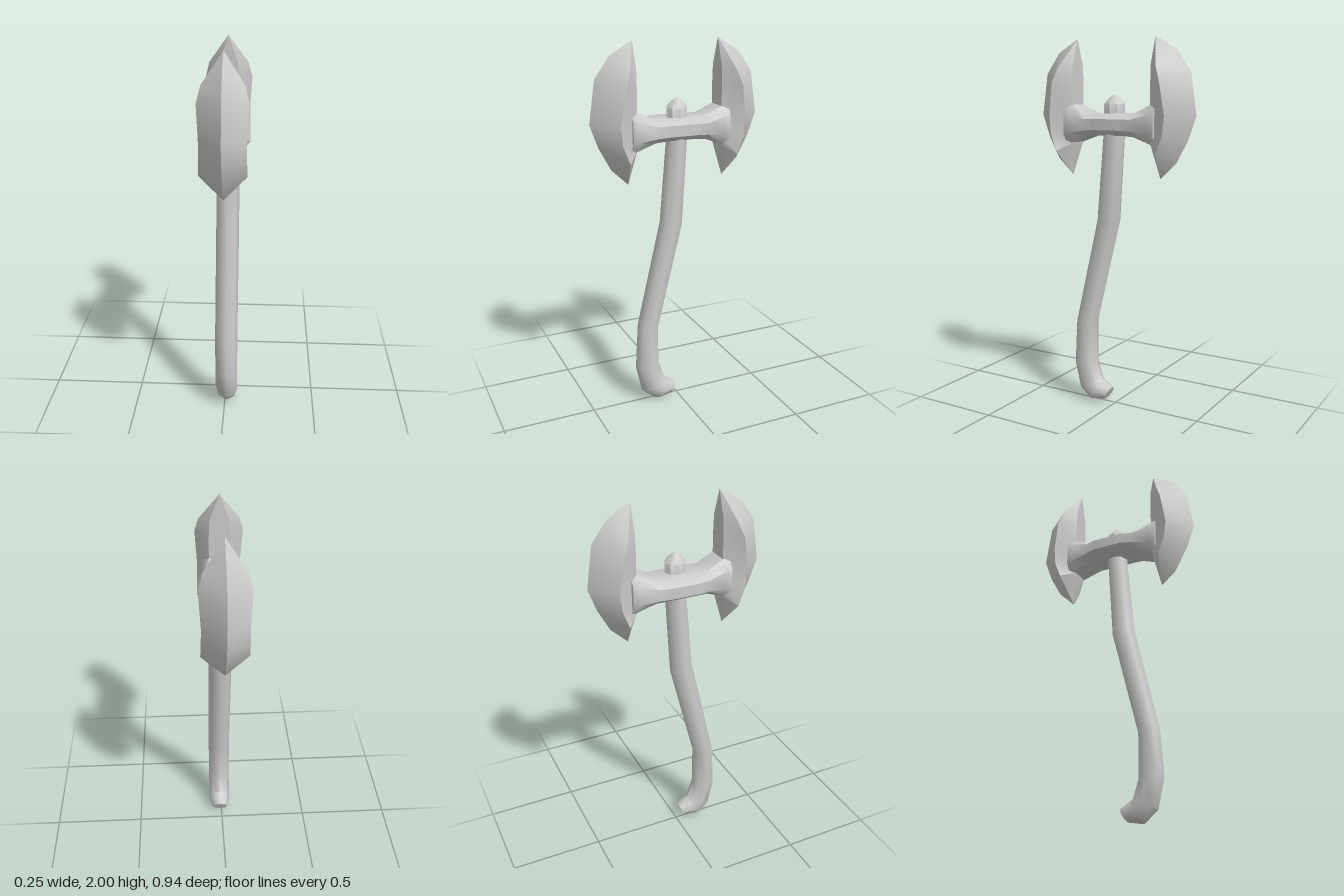
import * as THREE from 'three';
import { toCreasedNormals } from 'three/addons/utils/BufferGeometryUtils.js';

const material = new THREE.MeshStandardMaterial({ color: 0xcccccc });

// Skin a list of equal-length rings of [x, y, z] points and close both ends.
function loft(name, rings, crease) {
  const tris = [];
  const add = (a, b, c) => {
    const [p, q, r] = [a, b, c].map(v => new THREE.Vector3(...v));
    const area = q.clone().sub(p).cross(r.clone().sub(p)).length();
    if (area > 1e-7) tris.push([p, q, r]);
  };
  const n = rings[0].length;
  for (let i = 0; i + 1 < rings.length; i++) {
    for (let j = 0; j < n; j++) {
      const k = (j + 1) % n;
      add(rings[i][j], rings[i][k], rings[i + 1][k]);
      add(rings[i][j], rings[i + 1][k], rings[i + 1][j]);
    }
  }
  const cap = (ring, flip) => {
    const mid = [0, 1, 2].map(a => ring.reduce((s, p) => s + p[a], 0) / n);
    ring.forEach((p, j) => {
      const q = ring[(j + 1) % n];
      if (flip) add(mid, q, p); else add(mid, p, q);
    });
  };
  cap(rings[0], true);
  cap(rings[rings.length - 1], false);

  // Turn the whole skin outwards if the rings ran the other way.
  const volume = tris.reduce((s, [p, q, r]) => s + p.dot(q.clone().cross(r)), 0);
  const points = tris.flatMap(([p, q, r]) => (volume < 0 ? [p, r, q] : [p, q, r]));
  const geometry = toCreasedNormals(new THREE.BufferGeometry().setFromPoints(points), crease);
  const mesh = new THREE.Mesh(geometry, material);
  mesh.name = name;
  return mesh;
}

// Octagonal ring spanning two opposite [z, y] points of the handle outline.
function handleRing([z0, y0, z1, y1, r]) {
  return Array.from({ length: 8 }, (_, i) => {
    const a = (i / 8) * Math.PI * 2;
    const t = Math.cos(a) / 2;
    return [0.01 + r * Math.sin(a), (y0 + y1) / 2 + (y0 - y1) * t, (z0 + z1) / 2 + (z0 - z1) * t];
  });
}

// Bevelled section of the bar at depth z.
function barRing([z, left, right, bottom, top]) {
  const cx = (left + right) / 2, w = (right - left) / 2;
  const cy = (bottom + top) / 2, h = (top - bottom) / 2;
  return [[1, -0.5], [1, 0.5], [0.6, 1], [-0.6, 1], [-1, 0.5], [-1, -0.5], [-0.6, -1], [0.6, -1]]
    .map(([x, y]) => [cx + x * w, cy + y * h, z]);
}

// Five-sided blade section: cutting edge, side ridges and flat back.
function bladeRing([ez, ey, rx, rz, ry, bx, bz, by]) {
  return [[0, ey, ez], [rx, ry, rz], [bx, by, bz], [-bx, by, bz], [-rx, ry, rz]];
}

export function createModel() {
  const axe = new THREE.Group();
  axe.name = 'doubleAxe';

  // Curved handle: outer z, y, inner z, y, half width
  axe.add(loft('handle', [
    [0.058, 1.55, -0.058, 1.55, 0.058],
    [0.06, 1.48, -0.055, 1.48, 0.061],
    [0.10, 1.04, -0.03, 1.04, 0.061],
    [0.235, 0.46, 0.115, 0.46, 0.061],
    [0.25, 0.22, 0.113, 0.22, 0.061],
    [0.215, 0.065, 0.08, 0.128, 0.061],
    [0.14, 0.003, 0.067, 0.12, 0.06],
    [0.055, 0.018, 0.018, 0.09, 0.045],
  ].map(handleRing), 0.9));

  // Pointed knob above the bar
  axe.add(loft('knob', [
    [0.058, 1.56, -0.058, 1.56, 0.052],
    [0.058, 1.66, -0.058, 1.66, 0.052],
    [0.03, 1.69, -0.03, 1.69, 0.028],
    [0, 1.71, 0, 1.71, 0],
  ].map(handleRing), 0.7));

  // Bar joining the blades: z, left, right, bottom, top
  axe.add(loft('bar', [
    [-0.27, -0.095, 0.092, 1.44, 1.67],
    [-0.235, -0.095, 0.092, 1.455, 1.655],
    [-0.14, -0.112, 0.098, 1.49, 1.61],
    [-0.08, -0.127, 0.104, 1.495, 1.61],
    [0.08, -0.127, 0.104, 1.495, 1.61],
    [0.14, -0.112, 0.098, 1.49, 1.61],
    [0.235, -0.095, 0.092, 1.455, 1.655],
    [0.27, -0.095, 0.092, 1.44, 1.67],
  ].map(barRing), 0.8));

  // Blades: edge z, y; ridge x, z, y; back x, z, y
  const rows = [
    [0.235, 2.0, 0, 0.235, 2.0, 0, 0.235, 2.0],
    [0.355, 1.93, 0.105, 0.29, 1.85, 0.05, 0.235, 1.86],
    [0.435, 1.82, 0.125, 0.32, 1.77, 0.055, 0.235, 1.77],
    [0.468, 1.6, 0.115, 0.345, 1.6, 0.055, 0.235, 1.6],
    [0.425, 1.48, 0.117, 0.335, 1.5, 0.055, 0.235, 1.49],
    [0.36, 1.36, 0.12, 0.3, 1.41, 0.05, 0.238, 1.45],
    [0.27, 1.275, 0, 0.27, 1.275, 0, 0.27, 1.275],
  ].map(bladeRing);
  for (const [name, turn] of [['frontBlade', 0], ['backBlade', Math.PI]]) {
    const blade = loft(name, rows, 0.6);
    blade.rotation.y = turn;
    axe.add(blade);
  }
  return axe;
}
